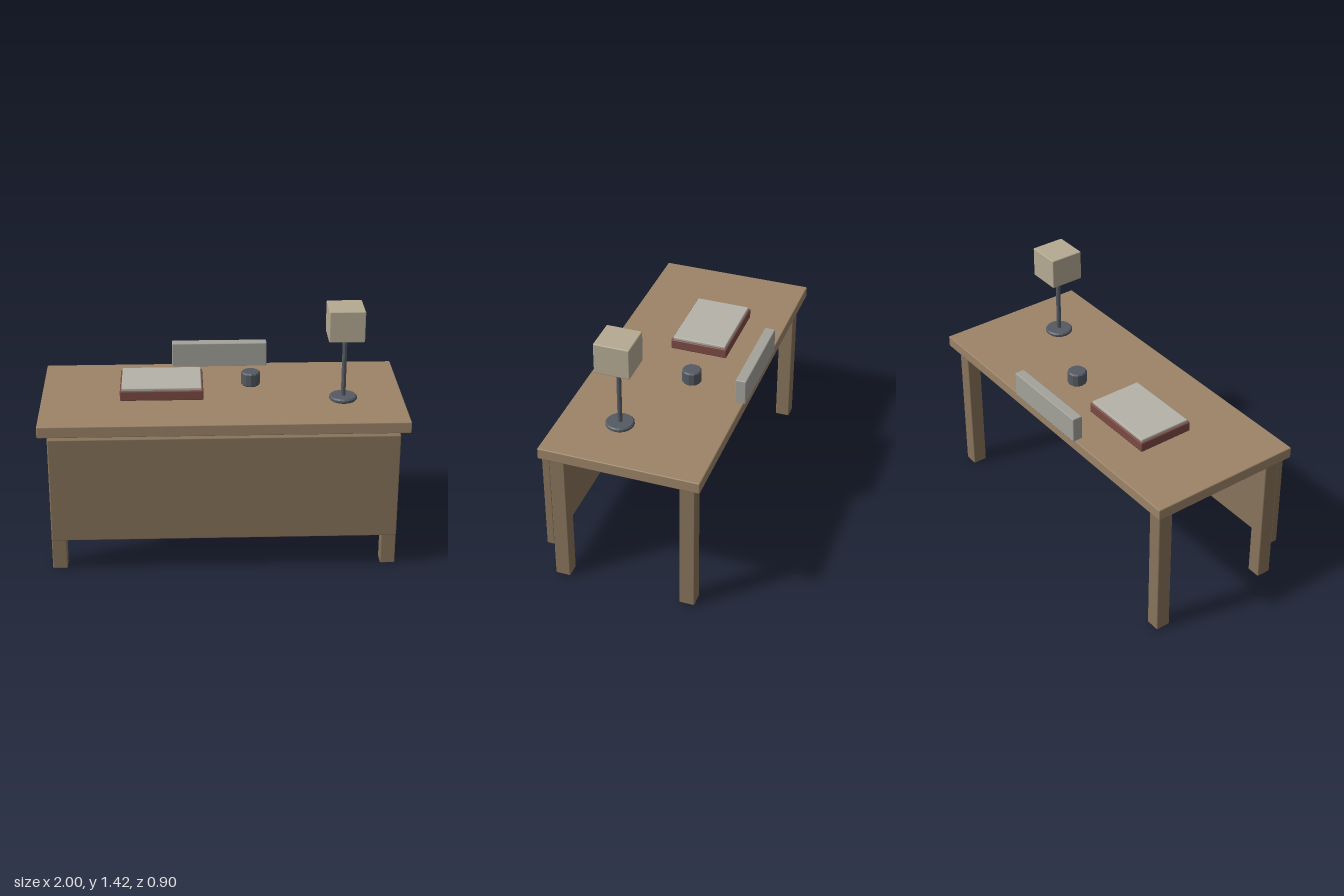
import * as THREE from 'three';
import { RoundedBoxGeometry } from 'three/addons/geometries/RoundedBoxGeometry.js';

const material = (color, flatShading = false) => new THREE.MeshStandardMaterial({ color, flatShading });

// Box with softened edges, given by its limits on each axis
function box(name, [x0, x1], [y0, y1], [z0, z1], mat, bevel = 0.006) {
  const mesh = new THREE.Mesh(new RoundedBoxGeometry(x1 - x0, y1 - y0, z1 - z0, 1, bevel), mat);
  mesh.position.set((x0 + x1) / 2, (y0 + y1) / 2, (z0 + z1) / 2);
  mesh.name = name;
  return mesh;
}

// Upright faceted cylinder with chamfered rims
function round(name, r, y0, y1, x, z, sides, bevel, mat) {
  const profile = [[0, y0], [r - bevel, y0], [r, y0 + bevel], [r, y1 - bevel], [r - bevel, y1], [0, y1]]
    .map(([px, py]) => new THREE.Vector2(px, py));
  const mesh = new THREE.Mesh(new THREE.LatheGeometry(profile, sides), mat);
  mesh.position.set(x, 0, z);
  mesh.name = name;
  return mesh;
}

export function createModel() {
  const desk = new THREE.Group();
  desk.name = 'desk';

  const topWood = material(0x9c8468);
  const wood = material(0x88735b);
  const metal = material(0x555b63, true);
  const paper = material(0xb4b2a8);
  const cover = material(0x7c4a44);
  const plate = material(0xa3a29a);
  const cloth = material(0xb5ab93);

  // Table top, four legs and the front panel
  desk.add(box('tableTop', [-1, 1], [0.815, 0.88], [-0.436, 0.446], topWood));
  for (const [side, x] of [['left', 0.91], ['right', -0.91]]) {
    for (const [end, z] of [['Front', 0.363], ['Back', -0.352]]) {
      desk.add(box(`${side}${end}Leg`, [x - 0.041, x + 0.041], [0.003, 0.815], [z - 0.042, z + 0.042], wood));
    }
  }
  desk.add(box('frontPanel', [-0.945, 0.945], [0.2, 0.805], [0.405, 0.449], wood));

  // Upright plate at the back edge
  desk.add(box('backPlate', [-0.275, 0.273], [0.876, 1.022], [-0.447, -0.387], plate));

  // Bound book with a lighter page block on top
  const book = new THREE.Group();
  book.name = 'book';
  book.add(
    box('bookCover', [-0.565, -0.105], [0.88, 0.937], [-0.215, 0.111], cover),
    box('bookPages', [-0.556, -0.114], [0.92, 0.952], [-0.206, 0.102], paper)
  );
  desk.add(book);

  // Small pot
  desk.add(round('pot', 0.054, 0.882, 0.961, 0.165, -0.107, 12, 0.007, metal));

  // Table lamp
  const lamp = new THREE.Group();
  lamp.name = 'lamp';
  lamp.add(
    round('lampBase', 0.077, 0.88, 0.905, 0.665, 0.118, 20, 0.007, metal),
    round('lampPole', 0.013, 0.89, 1.26, 0.665, 0.118, 10, 0.002, metal),
    box('lampShade', [0.568, 0.762], [1.248, 1.423], [0.02, 0.215], cloth)
  );
  desk.add(lamp);

  return desk;
}
